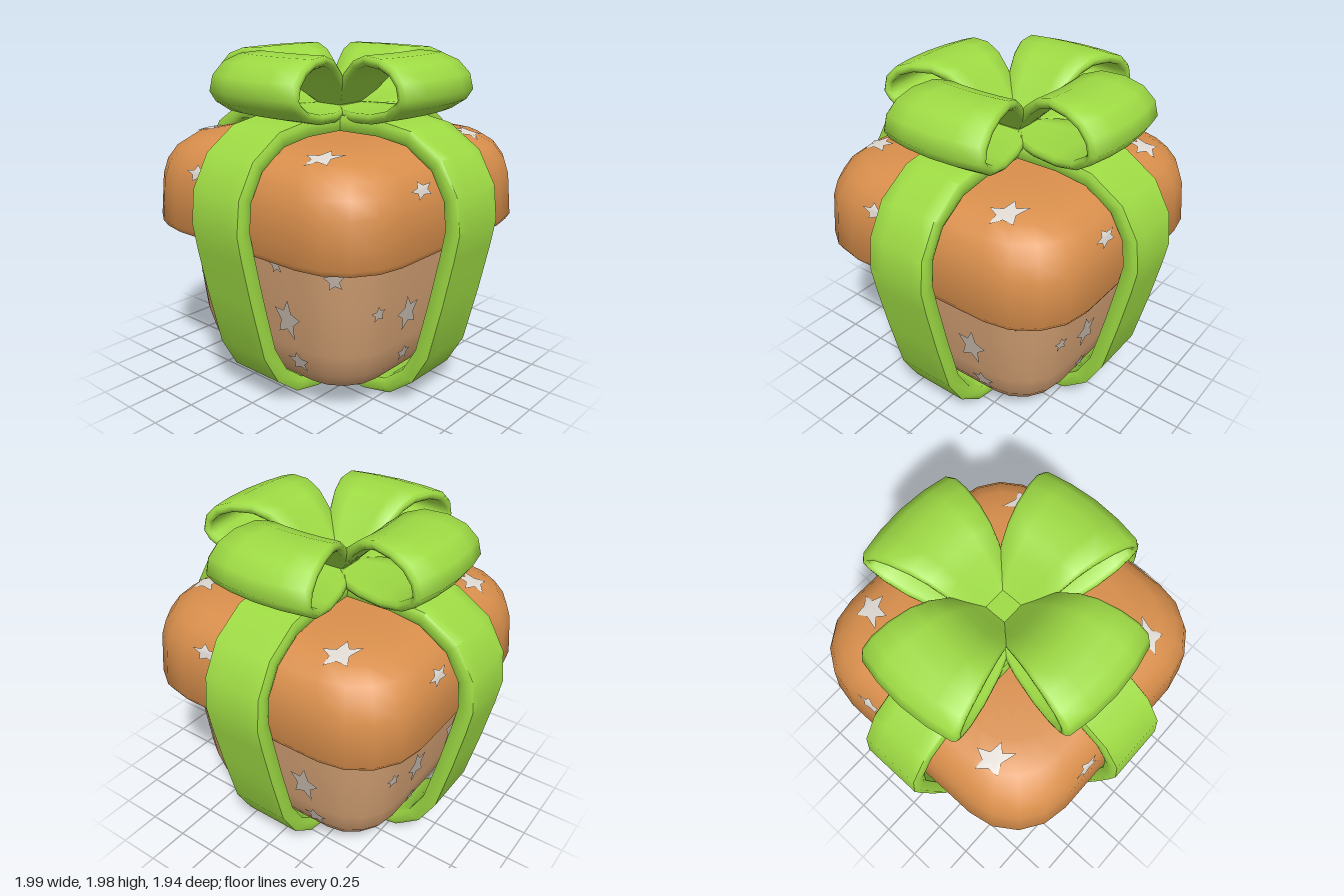
import * as THREE from 'three';
import { toCreasedNormals } from 'three/addons/utils/BufferGeometryUtils.js';
import { RoundedBoxGeometry } from 'three/addons/geometries/RoundedBoxGeometry.js';

const mat = (name, color, side = THREE.FrontSide) => {
  const m = new THREE.MeshStandardMaterial({ color, side });
  m.name = name;
  return m;
};

// Grid of points (rows x cols) joined into a surface; columns may wrap round
function gridGeometry(rows, closeRows, crease) {
  const cols = rows[0].length, index = [];
  const n = closeRows ? rows.length : rows.length - 1;
  for (let i = 0; i < n; i++) {
    const a = i * cols, b = ((i + 1) % rows.length) * cols;
    for (let j = 0; j < cols; j++) {
      const k = (j + 1) % cols;
      index.push(a + j, a + k, b + j, a + k, b + k, b + j);
    }
  }
  const g = new THREE.BufferGeometry();
  g.setAttribute('position', new THREE.Float32BufferAttribute(rows.flat(2), 3));
  g.setIndex(index);
  return toCreasedNormals(g, crease);
}

// Rounded square of half size h: u runs along the side facing +z and round its corners
const FLAT = 0.55, ROUND = 0.45;
function onSquare(u, h) {
  const over = Math.abs(u) - FLAT * h;
  if (over <= 0) return [u, h];
  const a = over / (ROUND * h);
  return [Math.sign(u) * h * (FLAT + ROUND * Math.sin(a)), h * (FLAT + ROUND * Math.cos(a))];
}

// Stack of rounded squares following a profile of [half size, y]
function loft(profile) {
  const corner = ROUND * Math.PI / 4;
  const steps = [-FLAT - corner, -FLAT - corner / 2, -FLAT, 0, FLAT, FLAT + corner / 2];
  return gridGeometry(profile.map(([h, y]) => {
    const ring = [];
    for (let k = 0; k < 4; k++) {
      const c = Math.round(Math.cos(k * Math.PI / 2)), s = Math.round(Math.sin(k * Math.PI / 2));
      for (const f of steps) {
        const [x, z] = onSquare(f * h, h);
        ring.push([x * c + z * s, y, z * c - x * s]);
      }
    }
    return ring;
  }), false, 0.8);
}

// Point on a profile at arc length s
function along(profile, s) {
  for (let i = 0; i < profile.length - 1; i++) {
    const [h0, y0] = profile[i], [h1, y1] = profile[i + 1];
    const len = Math.hypot(h1 - h0, y1 - y0);
    if (s <= len || i === profile.length - 2) return [h0 + (h1 - h0) * s / len, y0 + (y1 - y0) * s / len];
    s -= len;
  }
}

// Thin five-pointed star laid over the curved surface at (u, s)
function star(profile, u, s, ru, rs, turn) {
  const lift = 0.007, rings = 4, pos = [], index = [];
  for (let r = 0; r <= rings; r++) {
    for (let j = 0; j < 10; j++) {
      const a = Math.PI / 2 + turn + j * Math.PI / 5, k = (r / rings) * (j % 2 ? 0.48 : 1);
      const sv = s + rs * k * Math.sin(a);
      const [h, y] = along(profile, sv);
      const p = along(profile, sv - 0.04), q = along(profile, sv + 0.04);
      const dh = q[0] - p[0], dy = q[1] - p[1], len = Math.hypot(dh, dy);
      const [x, z] = onSquare(u + ru * k * Math.cos(a), h + lift * dy / len);
      pos.push(x, y - lift * dh / len, z);
      if (r < rings) {
        const m = r * 10 + j, n = r * 10 + (j + 1) % 10;
        index.push(m, m + 10, n, n, m + 10, n + 10);
      }
    }
  }
  const g = new THREE.BufferGeometry();
  g.setAttribute('position', new THREE.Float32BufferAttribute(pos, 3));
  g.setIndex(index);
  g.computeVertexNormals();
  return g;
}

// Strap section: [across, thickness] in halves, with softened edges
const SECTION = [[1, -0.4], [1, 0.4], [0.94, 1], [0.5, 1], [0, 1], [-0.5, 1], [-0.94, 1],
  [-1, 0.4], [-1, -0.4], [-0.94, -1], [-0.5, -1], [0, -1], [0.5, -1], [0.94, -1]];

// Ribbon swept along a path in the xy plane, wide along z
function ribbon(path, closed, half, widthAt, bulge) {
  const n = path.length;
  const rows = path.map(([x, y], i) => {
    const p = path[closed ? (i + n - 1) % n : Math.max(i - 1, 0)];
    const q = path[closed ? (i + 1) % n : Math.min(i + 1, n - 1)];
    const tx = q[0] - p[0], ty = q[1] - p[1], len = Math.hypot(tx, ty), w = widthAt(x);
    return SECTION.map(([a, b]) => [
      (x + half * b * ty / len) * (1 - bulge * a * a), y - half * b * tx / len, a * w]);
  });
  return gridGeometry(rows, closed, 1.15);
}

export function createModel() {
  const model = new THREE.Group();
  model.name = 'giftBox';
  const green = mat('ribbonGreen', 0x9edb44);
  const orange = mat('lidOrange', 0xd98f4c);
  const tan = mat('boxTan', 0xcf9d71);
  const paleStar = mat('lidStarWhite', 0xe0dad3, THREE.DoubleSide);
  const greyStar = mat('boxStarGrey', 0xc2b6ab, THREE.DoubleSide);
  const add = (parent, name, geometry, material) => {
    const m = new THREE.Mesh(geometry, material);
    m.name = name;
    parent.add(m);
    return m;
  };

  // Tapered box body
  const body = [[0.001, 0.125], [0.3, 0.125], [0.46, 0.145], [0.57, 0.2], [0.63, 0.29],
    [0.665, 0.43], [0.693, 0.72], [0.72, 1], [0.725, 1.12]];
  add(model, 'boxBody', loft(body), tan);

  // Domed lid with a hollow rim
  const dome = [[0.845, 0.985], [0.865, 1.02], [0.845, 1.27], [0.82, 1.36], [0.77, 1.44],
    [0.69, 1.5], [0.55, 1.53], [0.3, 1.535], [0.001, 1.535]];
  const rim = [[0.001, 1.12], [0.74, 1.12], [0.75, 1.0], [0.77, 0.985]];
  add(model, 'lid', loft([...rim, ...dome]), orange);

  // Stars, repeated on all four sides: [u, s, ru, rs, turn]
  const bodyStars = [[0.575, 1.31, 0.06, 0.065, 0.1], [-0.45, 1.085, 0.05, 0.05, 0.1],
    [-0.19, 1.01, 0.1, 0.11, 0.2], [0.24, 1.0, 0.1, 0.125, -0.15], [0.29, 0.745, 0.085, 0.065, 0.1],
    [-0.17, 0.74, 0.06, 0.055, 0], [0.19, 1.32, 0.055, 0.055, 0.2]];
  const lidStars = [[-0.29, 0.375, 0.095, 0.05, 0.2], [0.45, 0.63, 0.105, 0.09, 0.2]];
  for (let k = 0; k < 4; k++) {
    const side = new THREE.Group();
    side.name = 'sideStars';
    side.rotation.y = k * Math.PI / 2;
    bodyStars.forEach(a => add(side, 'boxStar', star(body, ...a), greyStar));
    lidStars.forEach(a => add(side, 'lidStar', star(dome, ...a), paleStar));
    model.add(side);
  }

  // Two ribbon straps crossing under and over the box
  const half = [[0.38, 0.055], [0.55, 0.09], [0.69, 0.2], [0.785, 0.37], [0.865, 0.7], [0.925, 0.98],
    [0.95, 1.12], [0.93, 1.295], [0.835, 1.46], [0.655, 1.575], [0.45, 1.605]];
  const hoop = [[0, 0.055], ...half, [0, 1.6], ...half.map(([x, y]) => [-x, y]).reverse()];
  add(model, 'sideStrap', ribbon(hoop, true, 0.044, () => 0.193, 0), green);
  const small = hoop.map(([x, y]) => [x * 0.975, 0.026 + y * 0.984]);
  add(model, 'frontStrap', ribbon(small, true, 0.044, () => 0.19, 0), green).rotation.y = Math.PI / 2;

  // Bow of four flaring loops and a small knot
  const bow = new THREE.Group();
  bow.name = 'bow';
  bow.position.set(-0.01, 0, -0.028);
  const loopPath = [[0.05, 1.655], [0.18, 1.645], [0.3, 1.645], [0.48, 1.66], [0.62, 1.695], [0.705, 1.75],
    [0.735, 1.79], [0.715, 1.86], [0.65, 1.92], [0.55, 1.955], [0.42, 1.963], [0.32, 1.93],
    [0.23, 1.86], [0.15, 1.77], [0.05, 1.67]];
  const flare = r => Math.min(r + 0.02, 0.328 * Math.pow(r / 0.72, 0.42));
  const loop = ribbon(loopPath, false, 0.027, flare, 0.06);
  for (let k = 0; k < 4; k++) add(bow, 'bowLoop', loop, green).rotation.y = k * Math.PI / 2;
  add(bow, 'knot', new RoundedBoxGeometry(0.2, 0.12, 0.19, 2, 0.03), green).position.y = 1.665;
  model.add(bow);

  return model;
}
